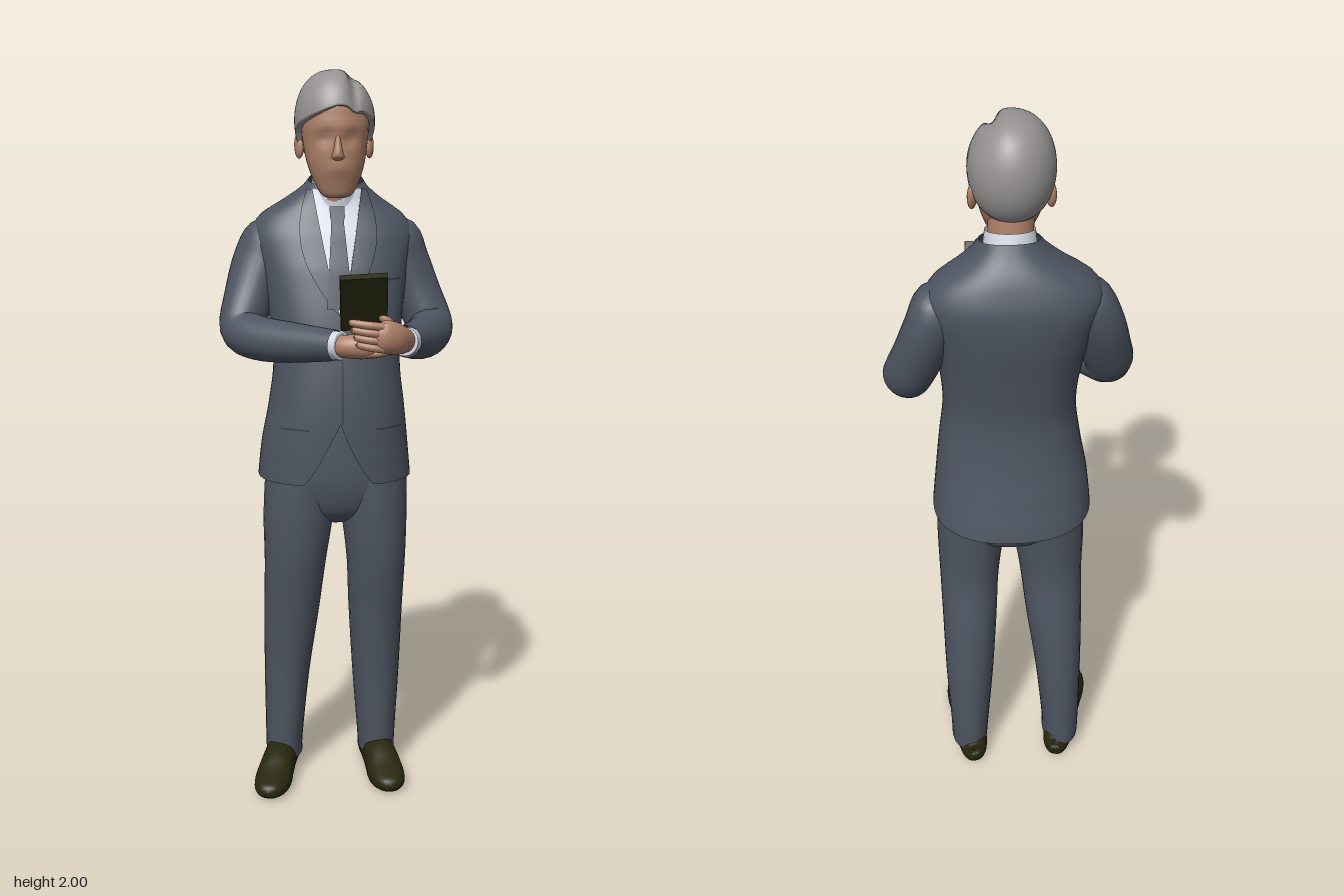
import * as THREE from 'three';

const mat = (name, color, side = THREE.FrontSide) => {
  const m = new THREE.MeshStandardMaterial({ color, side });
  m.name = name;
  return m;
};
const suit = mat('suit cloth', 0x4e5561, THREE.DoubleSide);
const seam = mat('seam', 0x373c45, THREE.DoubleSide);
const shirt = mat('shirt', 0xd2d8e4, THREE.DoubleSide);
const tieCloth = mat('tie cloth', 0x434955, THREE.DoubleSide);
const skin = mat('skin', 0xae8068);
const hairGrey = mat('grey hair', 0x949190, THREE.DoubleSide);
const leather = mat('dark leather', 0x28280f);

// Catmull-Rom interpolation of a list of rows at fractional index t
function sample(rows, t) {
  const last = rows.length - 1;
  const i = Math.min(Math.floor(t), last - 1), f = t - i;
  const at = k => rows[Math.max(0, Math.min(last, k))];
  const [a, b, c, d] = [at(i - 1), at(i), at(i + 1), at(i + 2)];
  return b.map((v, k) => v + 0.5 * f * (c[k] - a[k] + f * (2 * a[k] - 5 * v + 4 * c[k] - d[k]
    + f * (3 * (v - c[k]) + d[k] - a[k]))));
}

// Smooth surface from a grid of points
function grid(rows, cols, fn, closed) {
  const pos = [], idx = [], w = closed ? cols : cols + 1;
  for (let i = 0; i <= rows; i++) for (let j = 0; j < w; j++) pos.push(...fn(i / rows, j / cols));
  for (let i = 0; i < rows; i++) for (let j = 0; j < cols; j++) {
    const k = (j + 1) % w, a = i * w + j, b = a + w, c = i * w + k, d = c + w;
    idx.push(a, b, c, b, d, c);
  }
  const g = new THREE.BufferGeometry();
  g.setAttribute('position', new THREE.Float32BufferAttribute(pos, 3));
  g.setIndex(idx);
  g.computeVertexNormals();
  return g;
}
const sp = (v, n) => Math.sign(v) * Math.pow(Math.abs(v), 2 / n);
const bump = (v, w) => Math.exp(-(v * v) / (w * w));

// Skin over cross-sections [x, y, z, radius A, radius B]; level rings unless a side vector is given
function sweep(rows, { side = null, n = 2, cols = 28, shape = p => p } = {}) {
  const last = rows.length - 1;
  return grid(last * 4, cols, (ti, tj) => {
    const t = ti * last, s = sample(rows, t), ang = tj * Math.PI * 2;
    const u = new THREE.Vector3(1, 0, 0), v = new THREE.Vector3(0, 0, 1);
    if (side) {
      const p = sample(rows, Math.max(0, t - 0.05)), q = sample(rows, Math.min(last, t + 0.05));
      const T = new THREE.Vector3(q[0] - p[0], q[1] - p[1], q[2] - p[2]).normalize();
      u.copy(side).addScaledVector(T, -side.dot(T)).normalize();
      v.crossVectors(u, T);
    }
    const A = Math.max(s[3], 0.0005) * sp(Math.cos(ang), n), B = Math.max(s[4], 0.0005) * sp(Math.sin(ang), n);
    return shape([0, 1, 2].map(k => s[k] + u.getComponent(k) * A + v.getComponent(k) * B));
  }, true);
}

// Jacket body: [height, centre x, centre z, radius x, radius z]
const torso = [
  [0.87, -0.01, -0.1, 0.215, 0.177], [1.0, -0.01, -0.085, 0.203, 0.165], [1.1, -0.006, -0.075, 0.188, 0.155],
  [1.22, -0.005, -0.075, 0.174, 0.145], [1.35, -0.006, -0.095, 0.183, 0.145], [1.48, -0.01, -0.125, 0.205, 0.14],
  [1.57, -0.012, -0.145, 0.222, 0.125], [1.62, -0.012, -0.15, 0.195, 0.106], [1.66, -0.008, -0.148, 0.135, 0.09],
  [1.7, -0.004, -0.137, 0.084, 0.074], [1.74, 0, -0.13, 0.066, 0.06]];
const TN = 2.35;
function torsoAt(y) {
  let i = 0;
  while (i < torso.length - 2 && torso[i + 1][0] < y) i++;
  const f = (y - torso[i][0]) / (torso[i + 1][0] - torso[i][0]);
  return sample(torso, i + Math.max(0, Math.min(1, f)));
}
function chestZ(x, y) {
  const [, cx, cz, rx, rz] = torsoAt(y);
  return cz + rz * Math.pow(Math.max(0, 1 - Math.pow(Math.abs((x - cx) / rx), TN)), 1 / TN);
}
// Thin panel that follows the front of the jacket between two edges
const panel = (y0, y1, left, right, lift) => grid(20, 8, (ti, tj) => {
  const y = y0 + (y1 - y0) * ti, x = left(y) + (right(y) - left(y)) * tj;
  return [x, y, chestZ(x, y) + lift];
}, false);

export function createModel() {
  const model = new THREE.Group();
  const add = (name, geo, m, parent = model) => {
    const mesh = new THREE.Mesh(geo, m);
    mesh.name = name;
    parent.add(mesh);
    return mesh;
  };
  const X = new THREE.Vector3(1, 0, 0), Y = new THREE.Vector3(0, 1, 0);

  // Jacket with a cutaway front hem and a slightly longer back
  add('jacket', grid(44, 80, (t, tj) => {
    const a = tj * Math.PI * 2, c = sp(Math.cos(a), TN), s = sp(Math.sin(a), TN);
    const cut = s > 0 ? 0.17 * Math.pow(Math.max(0, 1 - Math.abs(c) / 0.45), 1.2) : 0;
    const hem = 0.903 + cut - 0.018 * Math.max(0, -s), top = 1.715 - 0.015 * s;
    const y = hem + t * (top - hem), [, cx, cz, rx, rz] = torsoAt(y);
    return [cx + rx * c, y, cz + rz * s];
  }, true), suit);

  // Shirt front, lapels, tie and pockets
  const v = y => 0.066 * Math.pow(Math.max(0, (y - 1.36) / 0.33), 0.8);
  const lap = y => v(y) + 0.06 * Math.sin(Math.PI * Math.min(1, (y - 1.36) / 0.36));
  add('shirtFront', panel(1.36, 1.69, y => -v(y) - 0.004, y => v(y) - 0.004, 0.004), shirt);
  for (const s of [-1, 1]) {
    add('lapel', panel(1.36, 1.69, y => s * v(y) - 0.004, y => s * lap(y) - 0.004, 0.009), suit);
    add('pocketFlap', panel(1.055, 1.06, () => s * 0.09, () => s * 0.165, 0.003), seam);
  }
  const tieW = y => (y > 1.615 ? 0.02 : 0.016 + (1.615 - y) * 0.08);
  add('tie', panel(1.38, 1.645, y => -0.006 - tieW(y), y => -0.006 + tieW(y), 0.012), tieCloth);
  for (const y of [1.5, 1.55, 1.6]) add('tieStripe', panel(y, y + 0.012, () => -0.018, () => 0.006, 0.015), leather);
  add('breastPocket', panel(1.45, 1.456, () => 0.11, () => 0.165, 0.003), seam);
  add('frontClosure', panel(1.075, 1.36, () => -0.003, () => 0.001, 0.003), seam);

  // Shirt collar and neck
  add('shirtCollar', sweep([[-0.005, 1.58, -0.125, 0.07, 0.07], [-0.005, 1.66, -0.115, 0.07, 0.068],
    [-0.005, 1.735, -0.1, 0.062, 0.06]], { shape: ([x, y, z]) => [x, y - 0.25 * (z + 0.14), z] }), shirt);
  add('neck', sweep([[-0.005, 1.6, -0.11, 0.056, 0.055], [-0.008, 1.72, -0.09, 0.056, 0.056],
    [-0.01, 1.84, -0.07, 0.06, 0.06]]), skin);

  // Head with shallow eye sockets, brow and lips
  const head = new THREE.Group();
  head.name = 'head';
  model.add(head);
  add('face', sweep([[-0.008, 1.668, -0.025, 0.001, 0.001], [-0.008, 1.673, -0.022, 0.034, 0.028],
    [-0.008, 1.7, -0.032, 0.055, 0.05], [-0.009, 1.75, -0.045, 0.074, 0.077], [-0.01, 1.8, -0.055, 0.084, 0.091],
    [-0.01, 1.86, -0.058, 0.09, 0.096], [-0.01, 1.92, -0.06, 0.085, 0.092], [-0.01, 1.965, -0.06, 0.04, 0.05]], {
    n: 2.2, cols: 48, shape: ([x, y, z]) => {
      const d = x + 0.01;
      const k = z > -0.02 ? -0.011 * bump(Math.abs(d) - 0.034, 0.02) * bump(y - 1.825, 0.016)
        + 0.005 * bump(y - 1.745, 0.012) * bump(d, 0.03) + 0.005 * bump(y - 1.855, 0.015) : 0;
      return [x, y, z + k];
    } }), skin, head);
  add('nose', sweep([[-0.01, 1.768, 0.03, 0.008, 0.004], [-0.01, 1.776, 0.033, 0.017, 0.016],
    [-0.01, 1.79, 0.034, 0.013, 0.017], [-0.01, 1.82, 0.03, 0.008, 0.011], [-0.01, 1.85, 0.026, 0.006, 0.006]]), skin, head);
  for (const s of [-1, 1]) {
    const ear = add('ear', new THREE.SphereGeometry(1, 16, 12), skin, head);
    ear.scale.set(0.012, 0.036, 0.021);
    ear.position.set(-0.01 + s * 0.094, 1.805, -0.085);
    ear.rotation.set(-0.2, s * -0.3, 0);
  }

  // Swept hair: low at the nape, high at the forehead, with a parting on the left
  add('hair', grid(30, 64, (t, tj) => {
    const a = tj * Math.PI * 2, c = Math.cos(a), s = Math.sin(a);
    let end = s > 0 ? 1.82 - 0.55 * Math.pow(s, 0.8) : 1.82 + 0.8 * Math.pow(-s, 0.6);
    if (c < 0 && s > 0) end += 0.22 * -c * s;
    const under = t > 0.94 ? 0.84 : 1;
    const phi = (1 - Math.min(1, t / 0.94)) * end, q = end - phi;
    const r = Math.pow(Math.abs(Math.sin(q)), 0.82) * under;
    const x = -0.011 + 0.107 * r * c, z = -0.061 + 0.123 * r * s;
    const front = THREE.MathUtils.smoothstep(z, -0.12, 0.0), upper = Math.max(0, Math.cos(q));
    const groove = 0.022 * bump(x - 0.035, 0.014) * front * Math.sqrt(upper);
    const slope = THREE.MathUtils.smoothstep(x, 0.0, 0.09) * 0.016 * upper;
    return [x, 1.868 + 0.132 * Math.cos(q) - groove - slope, z - groove * 0.5 * Math.max(0, s)];
  }, true).scale(1, 1, 1), hairGrey, head).material.side = THREE.DoubleSide;

  // Sleeves, bent at the elbow
  const arms = [
    [[-0.15, 1.575, -0.145, 0.02, 0.02], [-0.18, 1.555, -0.145, 0.066, 0.07], [-0.212, 1.49, -0.135, 0.068, 0.078],
      [-0.242, 1.4, -0.105, 0.066, 0.07], [-0.262, 1.32, -0.06, 0.064, 0.062], [-0.222, 1.3, 0.0, 0.06, 0.06],
      [-0.135, 1.298, 0.075, 0.053, 0.054], [-0.025, 1.303, 0.165, 0.041, 0.04]],
    [[0.13, 1.575, -0.15, 0.02, 0.02], [0.165, 1.555, -0.15, 0.064, 0.07], [0.192, 1.49, -0.15, 0.066, 0.078],
      [0.225, 1.4, -0.135, 0.066, 0.07], [0.256, 1.32, -0.105, 0.064, 0.062], [0.243, 1.3, -0.04, 0.06, 0.06],
      [0.203, 1.3, 0.06, 0.053, 0.054], [0.157, 1.31, 0.157, 0.042, 0.042]]];
  for (const rows of arms) {
    const P = k => new THREE.Vector3(...rows[k].slice(0, 3));
    const side = P(4).sub(P(1)).cross(P(7).sub(P(4))).normalize();
    add('sleeve', sweep(rows, { side }), suit);
    const dir = P(7).sub(P(6)).normalize();
    add('cuff', sweep([-0.02, 0.005, 0.016, 0.017].map((d, k) => {
      const r = k === 3 ? 0.02 : 0.037;
      return [...P(7).addScaledVector(dir, d).toArray(), r, r];
    }), { side: Y }), shirt);
  }

  // Hands: one folded across the front, one gripping the notebook
  const finger = (p, q, r) => add('finger', sweep([[...p, r, r], [...q.map((c, k) => (c + p[k]) / 2 + (k === 2 ? 0.008 : 0)), r, r],
    [...q, r * 0.85, r * 0.85], [...q.map((c, k) => c + (c - p[k]) * 0.08), 0.001, 0.001]], { side: Y, cols: 12 }), skin);
  add('rightHand', sweep([[-0.03, 1.303, 0.16, 0.027, 0.027], [0.0, 1.303, 0.183, 0.03, 0.033],
    [0.045, 1.305, 0.198, 0.033, 0.03], [0.08, 1.31, 0.2, 0.03, 0.02], [0.1, 1.312, 0.2, 0.001, 0.001]], { side: Y }), skin);
  add('leftHand', sweep([[0.16, 1.312, 0.15, 0.027, 0.026], [0.145, 1.318, 0.19, 0.034, 0.028],
    [0.115, 1.33, 0.228, 0.042, 0.03], [0.08, 1.34, 0.245, 0.038, 0.022], [0.06, 1.345, 0.25, 0.001, 0.001]], { side: Y }), skin);
  for (let k = 0; k < 4; k++) {
    finger([0.09, 1.305 + 0.019 * k, 0.25], [0.025 - 0.006 * k, 1.315 + 0.019 * k, 0.238], 0.0105);
    finger([0.05, 1.285 + 0.015 * k, 0.21], [0.115, 1.292 + 0.015 * k, 0.205], 0.0095);
  }
  finger([0.13, 1.345, 0.2], [0.075, 1.395, 0.195], 0.012);

  // Notebook, leaning away from the body
  const book = new THREE.Group();
  book.name = 'notebook';
  add('notebookCover', new THREE.BoxGeometry(0.12, 0.165, 0.02), leather, book);
  add('notebookPage', new THREE.BoxGeometry(0.055, 0.155, 0.004), tieCloth, book).position.set(-0.03, 0, -0.011);
  book.position.set(0.04, 1.422, 0.222);
  book.rotation.set(0.55, 0, 0.06);
  model.add(book);

  // Trousers
  add('trouserSeat', sweep([[-0.007, 0.765, -0.09, 0.03, 0.04], [-0.007, 0.8, -0.092, 0.13, 0.095],
    [-0.007, 0.87, -0.093, 0.193, 0.12], [-0.007, 0.95, -0.09, 0.192, 0.122], [-0.007, 1.1, -0.085, 0.16, 0.11]],
  { n: 2.3 }), suit);
  const legs = [
    [[-0.155, 0.05, -0.14, 0.053, 0.088], [-0.155, 0.1, -0.14, 0.054, 0.092], [-0.146, 0.3, -0.132, 0.065, 0.096],
      [-0.132, 0.5, -0.112, 0.079, 0.099], [-0.122, 0.65, -0.088, 0.087, 0.1], [-0.113, 0.78, -0.085, 0.098, 0.108],
      [-0.105, 0.9, -0.09, 0.1, 0.115]],
    [[0.118, 0.05, -0.145, 0.053, 0.088], [0.117, 0.1, -0.145, 0.055, 0.092], [0.114, 0.3, -0.137, 0.068, 0.096],
      [0.11, 0.5, -0.114, 0.077, 0.1], [0.108, 0.65, -0.088, 0.083, 0.1], [0.102, 0.78, -0.085, 0.092, 0.108],
      [0.095, 0.9, -0.09, 0.098, 0.115]]];
  for (const rows of legs) add('trouserLeg', sweep(rows, { n: 2.2 }), suit);

  // Shoes, flat underneath with toes turned out
  for (const [hx, tx, dz] of [[-0.135, -0.215, 0.008], [0.105, 0.138, -0.005]]) {
    const profile = [[-0.236, 0.04, 0.001, 0.001], [-0.23, 0.04, 0.028, 0.04], [-0.19, 0.042, 0.042, 0.052],
      [-0.11, 0.045, 0.045, 0.058], [-0.04, 0.038, 0.048, 0.058], [0.02, 0.028, 0.052, 0.042],
      [0.07, 0.025, 0.045, 0.028], [0.1, 0.025, 0.026, 0.018], [0.109, 0.025, 0.001, 0.001]];
    add('shoe', sweep(profile.map(([z, y, a, b]) => [hx + (tx - hx) * (z + 0.236) / 0.345, y, z + dz, a, b]),
      { side: X, n: 2.3, shape: ([x, y, z]) => [x, Math.max(0.004 * bump(z + 0.06, 0.04), y), z] }), leather);
  }
  return model;
}
